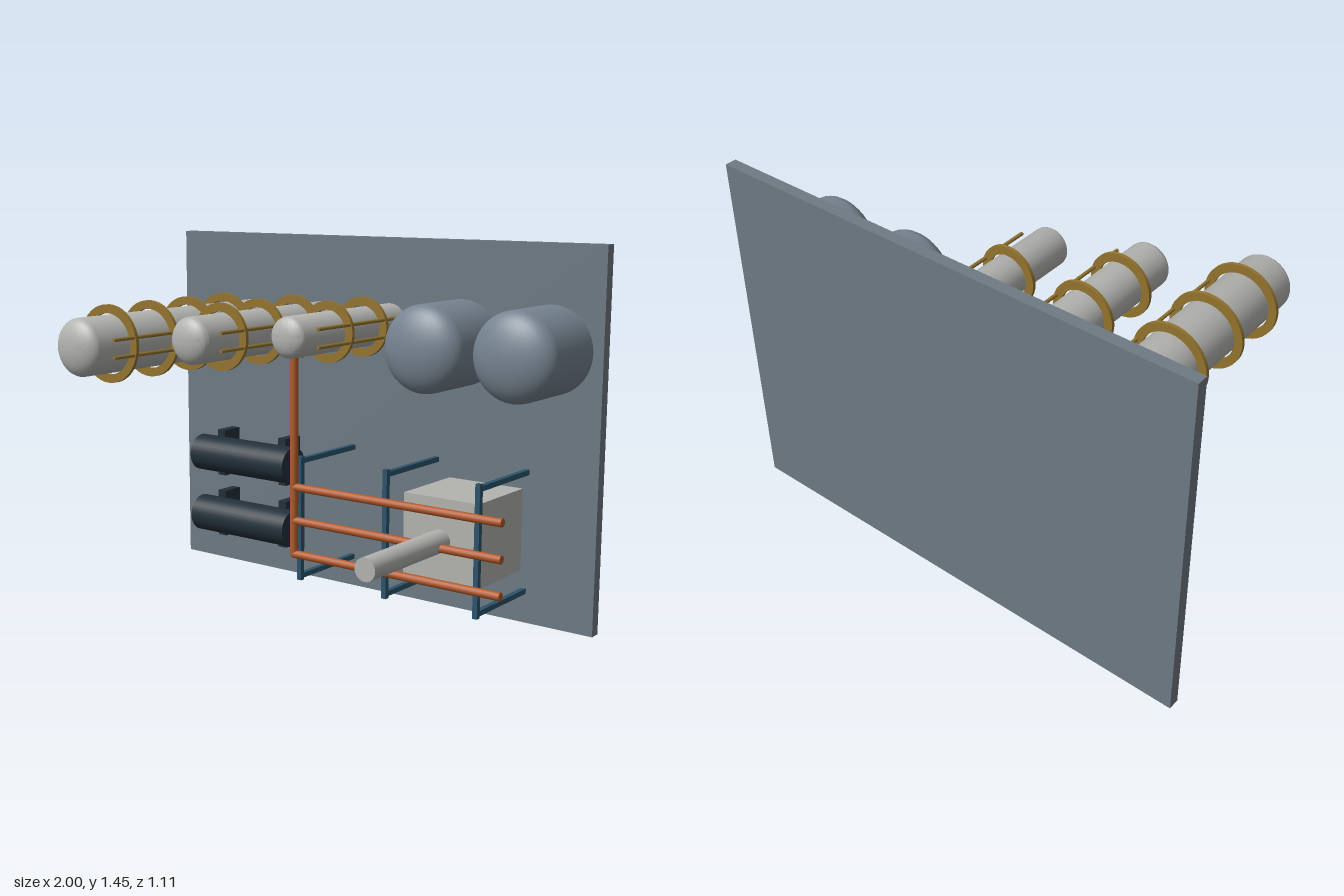
import * as THREE from 'three';
import { toCreasedNormals } from 'three/addons/utils/BufferGeometryUtils.js';

export function createModel() {
  const model = new THREE.Group();
  model.name = 'processPlantWall';

  const mat = (name, color) => {
    const m = new THREE.MeshStandardMaterial({ color });
    m.name = name;
    return m;
  };
  const plateGrey = mat('plateGrey', 0x6e7a84);
  const tankBlueGrey = mat('tankBlueGrey', 0x768491);
  const lightGrey = mat('lightGrey', 0xb3b3b0);
  const brass = mat('brass', 0x94742f);
  const copper = mat('copper', 0xb3592a);
  const steelBlue = mat('steelBlue', 0x2c546c);
  const darkSteel = mat('darkSteel', 0x22303a);

  const add = (parent, name, geometry, material, x = 0, y = 0, z = 0) => {
    const mesh = new THREE.Mesh(geometry, material);
    mesh.name = name;
    mesh.position.set(x, y, z);
    parent.add(mesh);
    return mesh;
  };
  const group = (name, x = 0, y = 0, z = 0) => {
    const g = new THREE.Group();
    g.name = name;
    g.position.set(x, y, z);
    model.add(g);
    return g;
  };
  const box = (parent, name, material, w, h, d, x, y, z) =>
    add(parent, name, new THREE.BoxGeometry(w, h, d), material, x, y, z);
  const rod = (parent, name, material, r, length, axis, x, y, z, sides = 16) => {
    const g = new THREE.CylinderGeometry(r, r, length, sides);
    if (axis === 'x') g.rotateZ(Math.PI / 2);
    if (axis === 'z') g.rotateX(Math.PI / 2);
    return add(parent, name, g, material, x, y, z);
  };
  // Revolved profile of [radius, z] pairs about the z axis
  const lathe = (points, sides = 40) =>
    toCreasedNormals(
      new THREE.LatheGeometry(points.map(p => new THREE.Vector2(...p)), sides).rotateX(Math.PI / 2),
      0.6
    );
  // Flat-backed vessel with a shallow elliptical dome facing forward
  const domedVessel = (r, back, front) => {
    const dome = r * 0.5;
    const points = [[0, back], [r, back]];
    for (let i = 0; i <= 10; i++) {
      const a = (i / 10) * Math.PI / 2;
      points.push([i === 10 ? 0 : r * Math.cos(a), front - dome + dome * Math.sin(a)]);
    }
    return lathe(points);
  };

  const BACK = -0.5;

  // Backing plate
  box(model, 'backPlate', plateGrey, 2, 1.445, 0.045, 0, 0.7225, -0.533);

  // Columns with ring platforms and ladder rails
  const ringZ = [-0.312, -0.09, 0.132, 0.354];
  [
    { x: -0.612, y: 1.058, r: 0.11, front: 0.556, rings: 4, rail: 0.465 },
    { x: -0.246, y: 1.09, r: 0.089, front: 0.34, rings: 3, rail: 0.265 },
    { x: 0.088, y: 1.112, r: 0.077, front: 0.182, rings: 2, rail: 0.11 },
  ].forEach(({ x, y, r, front, rings, rail }) => {
    const column = group('column', x, y);
    add(column, 'columnShell', domedVessel(r, BACK, front), lightGrey);
    const a = r + 0.006, b = r + 0.039, t = 0.007;
    for (let i = 0; i < rings; i++) {
      add(column, 'ringPlatform', lathe([[a, -t], [b, -t], [b, t], [a, t], [a, -t]]), brass, 0, 0, ringZ[i]);
    }
    for (const side of [-1, 1]) {
      rod(column, 'ladderRail', brass, 0.007, rail + 0.492, 'z', r + 0.025, side * 0.033, (rail - 0.492) / 2, 8);
    }
  });

  // Large domed tanks
  for (const x of [0.422, 0.8]) {
    add(model, 'storageTank', domedVessel(0.166, -0.496, -0.148), tankBlueGrey, x, 1.058, 0);
  }

  // Horizontal drums on saddles
  for (const y of [0.502, 0.233]) {
    const drum = group('drum', -0.556, y);
    rod(drum, 'drumShell', darkSteel, 0.077, 0.502, 'x', 0, 0, -0.383, 32);
    for (const side of [-1, 1]) {
      box(drum, 'drumSaddle', darkSteel, 0.04, 0.2, 0.097, side * 0.167, 0, -0.4625);
    }
  }

  // Copper pipework: riser, joints and three branch lines
  const pipes = group('pipework', 0, 0, -0.113);
  const R = 0.016, riserX = -0.09, top = 1.057;
  const branches = [0.222, 0.357, 0.491];
  rod(pipes, 'riserPipe', copper, R, top - branches[0], 'y', riserX, (top + branches[0]) / 2, 0);
  rod(pipes, 'columnConnection', copper, R, 0.055, 'x', riserX - 0.0275, top, 0);
  for (const y of [branches[0], top]) {
    add(pipes, 'pipeElbow', new THREE.SphereGeometry(R, 16, 12), copper, riserX, y, 0);
  }
  for (const y of branches) {
    rod(pipes, 'branchPipe', copper, R, 0.922, 'x', riserX + 0.461, y, 0);
  }

  // Pipe rack frames
  for (const x of [-0.09, 0.312, 0.71]) {
    const frame = group('pipeRackFrame', x);
    box(frame, 'rackPost', steelBlue, 0.02, 0.5, 0.02, 0, 0.357, -0.155);
    for (const y of [0.125, 0.589]) {
      box(frame, 'rackArm', steelBlue, 0.02, 0.02, 0.36, 0, y, -0.332);
    }
  }

  // Equipment housing with a projecting stack
  box(model, 'equipmentHousing', lightGrey, 0.32, 0.32, 0.324, 0.542, 0.367, -0.333);
  rod(model, 'exhaustStack', lightGrey, 0.043, 0.494, 'z', 0.542, 0.367, 0.063, 28);

  return model;
}
